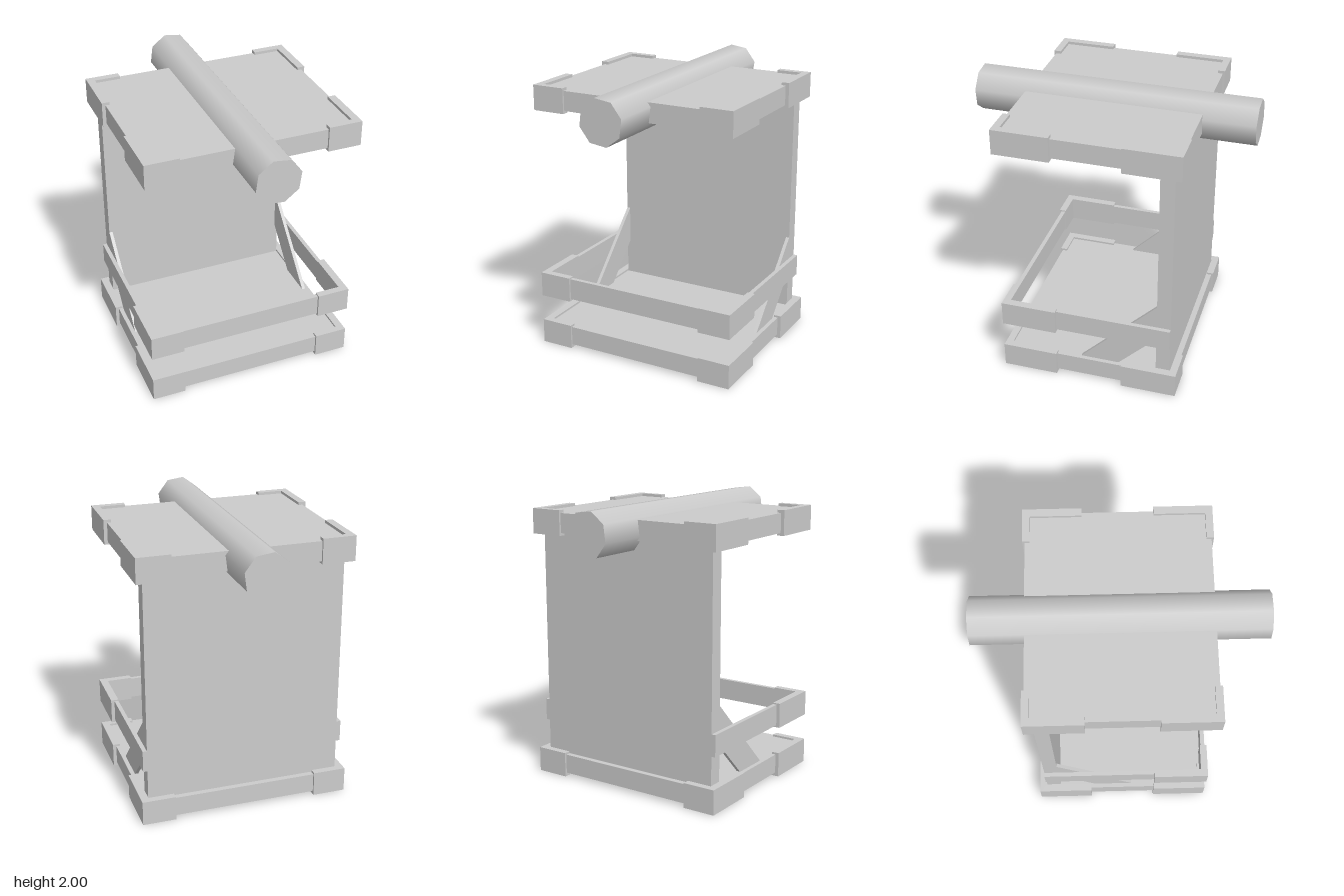
import * as THREE from 'three';

export function createModel() {
  const model = new THREE.Group();
  model.name = 'shelfFrame';
  const grey = new THREE.MeshStandardMaterial({ color: 0xcccccc });
  grey.name = 'plain grey';

  function add(name, geometry) {
    const mesh = new THREE.Mesh(geometry, grey);
    mesh.name = name;
    model.add(mesh);
    return mesh;
  }

  // Box given by its limits on each axis
  function box(name, x0, x1, y0, y1, z0, z1) {
    add(name, new THREE.BoxGeometry(x1 - x0, y1 - y0, z1 - z0))
      .position.set((x0 + x1) / 2, (y0 + y1) / 2, (z0 + z1) / 2);
  }

  // L-shaped corner bracket, standing upright from y0 to y1
  function corner(name, sx, sz, y0, y1) {
    const outline = [
      [0.755, 0.635], [0.517, 0.635], [0.517, 0.585],
      [0.7, 0.585], [0.7, 0.24], [0.755, 0.24],
    ].map(([x, z]) => new THREE.Vector2(x * sx, -z * sz));
    const geometry = new THREE.ExtrudeGeometry(new THREE.Shape(outline), {
      depth: y1 - y0, bevelEnabled: false,
    });
    geometry.rotateX(-Math.PI / 2).translate(0, y0, 0);
    add(name, geometry);
  }

  // Thin board with rails hanging around its edge, open underneath
  function tray(name, y0, y1) {
    box(name + 'Board', -0.73, 0.73, y1 - 0.025, y1, -0.62, 0.62);
    for (const s of [-1, 1]) {
      const [x0, x1] = s > 0 ? [0.703, 0.73] : [-0.73, -0.703];
      const [z0, z1] = s > 0 ? [0.59, 0.62] : [-0.62, -0.59];
      box(name + (s > 0 ? 'Left' : 'Right') + 'Edge', x0, x1, y0, y1 - 0.025, -0.62, 0.62);
      box(name + (s > 0 ? 'Front' : 'Back') + 'Edge', -0.703, 0.703, y0, y1 - 0.025, z0, z1);
    }
  }

  // Floor, roof and back wall
  tray('floor', 0.025, 0.163);
  tray('roof', 1.776, 1.915);
  box('backWall', -0.7, 0.7, 0.163, 1.89, -0.58, -0.48);

  // Guard rail: front bar and two side bars
  box('frontRail', -0.73, 0.73, 0.385, 0.54, 0.59, 0.62);

  for (const sx of [-1, 1]) {
    const side = sx > 0 ? 'left' : 'right';
    box(side + 'Rail', sx > 0 ? 0.7 : -0.73, sx > 0 ? 0.73 : -0.7, 0.385, 0.54, -0.58, 0.59);

    // Corner brackets on floor, roof and the front of the rail
    for (const sz of [-1, 1]) {
      const end = sz > 0 ? 'Front' : 'Back';
      corner(side + end + 'FloorCorner', sx, sz, 0, 0.178);
      corner(side + end + 'RoofCorner', sx, sz, 1.757, 1.935);
    }
    corner(side + 'RailCorner', sx, 1, 0.37, 0.55);

    // Diagonal brace between the floor and the back wall
    const brace = new THREE.Shape([
      [0.07, 0.16], [-0.48, 0.71], [-0.48, 0.435], [-0.205, 0.16],
    ].map(([z, y]) => new THREE.Vector2(-z, y)));
    const geometry = new THREE.ExtrudeGeometry(brace, { depth: 0.025, bevelEnabled: false });
    geometry.rotateY(Math.PI / 2).translate(sx > 0 ? 0.675 : -0.7, 0, 0);
    add(side + 'Brace', geometry);
  }

  // Eight-sided beam running front to back through the roof
  const beam = new THREE.CylinderGeometry(0.161, 0.161, 1.963, 8, 1, false, Math.PI / 12);
  beam.rotateX(Math.PI / 2);
  add('roofBeam', beam).position.set(0, 1.8445, 0);

  return model;
}
